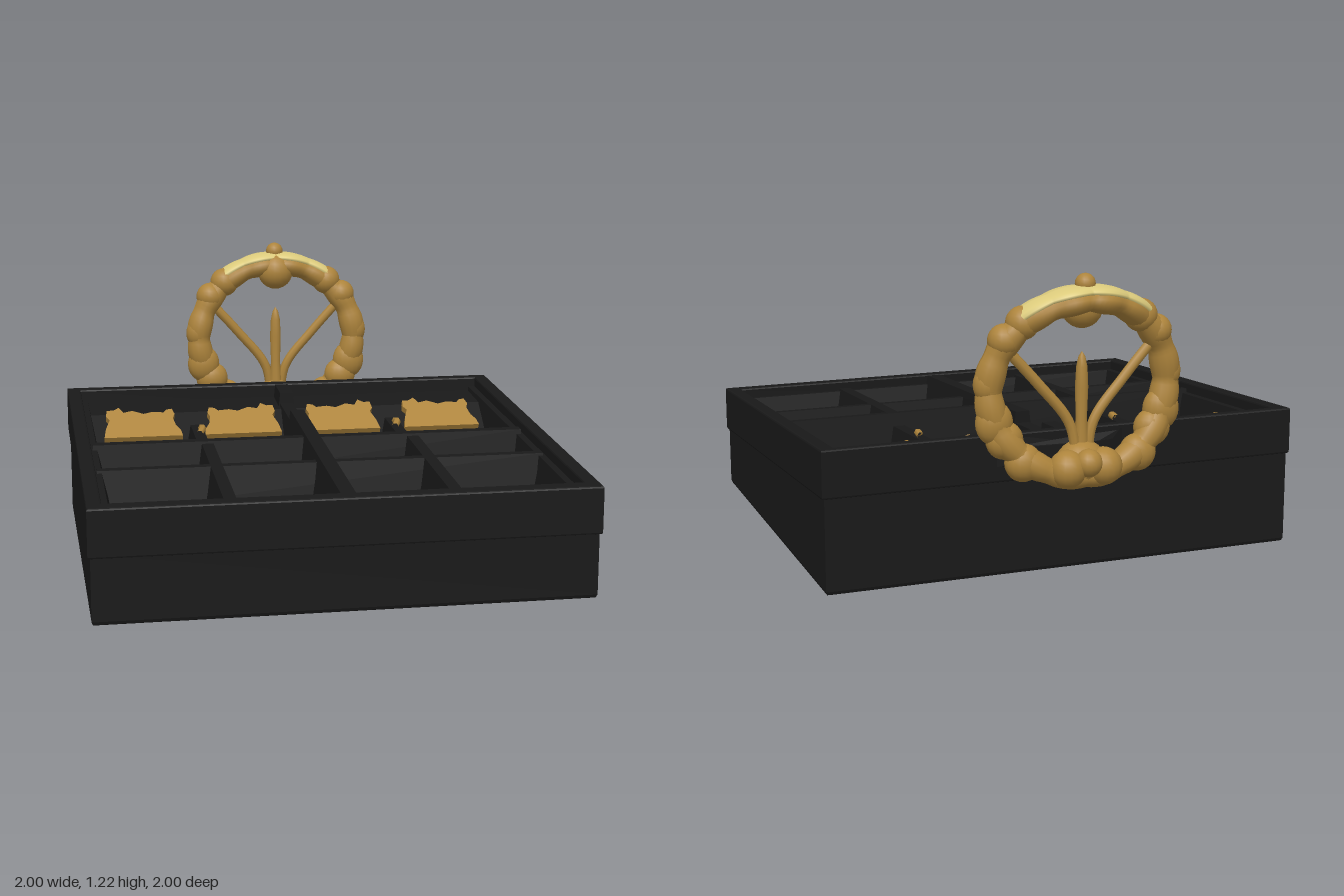
import * as THREE from 'three';

const black = new THREE.MeshStandardMaterial({ color: 0x191919 });
black.name = 'matte black';
const gold = new THREE.MeshStandardMaterial({ color: 0xad843c });
gold.name = 'antique gold';
const pale = new THREE.MeshStandardMaterial({ color: 0xdccb7c });
pale.name = 'pale gold';

const FLOOR = 0.3;
// Height of the sloping case top at depth z
const top = (z) => 0.529 - 0.0694 * z;

// Moves every vertex by a rule and refreshes the normals
function reshape(geo, rule) {
  const p = geo.attributes.position;
  const v = new THREE.Vector3();
  for (let i = 0; i < p.count; i++) {
    v.fromBufferAttribute(p, i);
    rule(v);
    p.setXYZ(i, v.x, v.y, v.z);
  }
  geo.computeVertexNormals();
  return geo;
}

function add(group, name, geo, mat, x = 0, y = 0, z = 0) {
  const mesh = new THREE.Mesh(geo, mat);
  mesh.name = name;
  mesh.position.set(x, y, z);
  group.add(mesh);
  return mesh;
}

function rectangle(Type, hx, z0, z1) {
  return new Type([[-hx, z0], [hx, z0], [hx, z1], [-hx, z1]].map(([x, z]) => new THREE.Vector2(x, z)));
}

// Horizontal bevelled slab hanging down from y = 0, optionally with an opening
function slab(hx, z0, z1, depth, bevel, open) {
  const shape = rectangle(THREE.Shape, hx, z0, z1);
  if (open) shape.holes.push(rectangle(THREE.Path, 0.94, -0.69, 0.935));
  const geo = new THREE.ExtrudeGeometry(shape, {
    depth: depth - 2 * bevel, bevelThickness: bevel, bevelSize: bevel, bevelOffset: -bevel, bevelSegments: 2,
  });
  return geo.rotateX(Math.PI / 2).translate(0, -bevel, 0);
}

// Divider with a narrow crest and flared foot, from the flat floor up to the slope
function divider(group, name, x0, x1, z0, z1, drop) {
  const alongX = x1 - x0 > z1 - z0;
  const geo = new THREE.BoxGeometry(x1 - x0, 1, z1 - z0);
  reshape(geo, (v) => {
    const foot = v.y < 0;
    if (foot && alongX) v.z += Math.sign(v.z) * 0.03;
    if (foot && !alongX) v.x += Math.sign(v.x) * 0.03;
    v.x += (x0 + x1) / 2;
    v.z += (z0 + z1) / 2;
    v.y = foot ? FLOOR - 0.005 : top(v.z) - drop;
  });
  add(group, name, geo, black);
}

function buildCase() {
  const g = new THREE.Group();
  g.name = 'case';
  // Solid base whose upper face is the compartment floor
  add(g, 'base', slab(0.99, -0.728, 0.99, FLOOR, 0.018, false).translate(0, FLOOR, 0), black);
  // Side walls and the slightly wider sloping rim
  const walls = slab(0.99, -0.728, 0.99, 0.2, 0.004, true);
  add(g, 'caseWalls', reshape(walls, (v) => { v.y = v.y > -0.1 ? top(v.z) - 0.1 : FLOOR - 0.03; }), black);
  add(g, 'rim', reshape(slab(1, -0.735, 1, 0.195, 0.008, true), (v) => { v.y += top(v.z); }), black);
  // Inner lining
  for (const s of [-1, 1]) divider(g, 'sideLining', s * 0.93 - 0.02, s * 0.93 + 0.02, -0.69, 0.93, 0.045);
  divider(g, 'frontLining', -0.93, 0.93, 0.91, 0.94, 0.045);
  // Compartment dividers, the centre one dipping between the gold plates
  divider(g, 'centreDivider', -0.03, 0.03, -0.25, 0.93, 0.005);
  divider(g, 'centreDividerDip', -0.03, 0.03, -0.54, -0.25, 0.055);
  divider(g, 'centreDividerRear', -0.03, 0.03, -0.7, -0.54, 0.005);
  divider(g, 'crossDivider', -0.93, 0.93, 0.075, 0.115, 0.025);
  divider(g, 'crossDivider', -0.93, 0.93, 0.4, 0.435, 0.035);
  for (const s of [-1, 1]) {
    divider(g, 'columnDivider', s * 0.445 - 0.025, s * 0.445 + 0.025, 0.09, 0.93, 0.035);
    divider(g, 'rearColumnDivider', s * 0.445 - 0.025, s * 0.445 + 0.025, -0.33, 0.09, 0.08);
  }
  // Stepped panel behind the rear compartments
  const profile = new THREE.Shape(
    [[0.71, 0.29], [0.71, 0.515], [0.5, 0.495], [0.335, 0.393], [0.24, 0.29]].map(([z, y]) => new THREE.Vector2(z, y)));
  const panel = new THREE.ExtrudeGeometry(profile, { depth: 1.88, bevelEnabled: false });
  add(g, 'rearPanel', panel.rotateY(Math.PI / 2), black, -0.94);
  // Shallow swelling on the back that carries the wheel
  const mount = new THREE.Shape();
  mount.moveTo(-0.3, -0.72);
  mount.bezierCurveTo(-0.2, -0.735, -0.2, -0.765, -0.1, -0.765);
  mount.lineTo(0.12, -0.765);
  mount.bezierCurveTo(0.22, -0.765, 0.26, -0.735, 0.38, -0.72);
  const mountGeo = new THREE.ExtrudeGeometry(mount, { depth: 0.11, bevelEnabled: false }).rotateX(Math.PI / 2);
  reshape(mountGeo, (v) => { if (v.z < -0.74) v.y = v.y > -0.05 ? -0.035 : -0.105; });
  add(g, 'wheelMount', mountGeo, black, 0, 0.56, 0);
  return g;
}

// Ragged gold plates resting on the rear panel, and the small hooks
function buildInserts() {
  const g = new THREE.Group();
  g.name = 'goldInserts';
  const outline = [[-0.175, 0], [0.175, 0], [0.17, 0.03], [0.15, 0.06], [0.14, 0.1], [0.15, 0.125], [0.14, 0.155],
    [0.115, 0.15], [0.1, 0.135], [0.05, 0.14], [0.01, 0.13], [-0.04, 0.15], [-0.08, 0.14], [-0.1, 0.17],
    [-0.125, 0.155], [-0.155, 0.155], [-0.16, 0.12], [-0.145, 0.1], [-0.165, 0.05]];
  [[-0.68, 1], [-0.23, -1], [0.225, -1], [0.69, 1]].forEach(([x, s]) => {
    const shape = new THREE.Shape(outline.map(([px, py]) => new THREE.Vector2(px * s, py * 1.14)));
    const geo = new THREE.ExtrudeGeometry(shape, { depth: 0.034, bevelEnabled: false });
    add(g, 'goldPlate', geo, gold, x, 0.397, -0.347).rotation.x = -Math.PI / 2 + 0.55;
  });
  for (const s of [-1, 1]) {
    const path = new THREE.CatmullRomCurve3([
      new THREE.Vector3(s * 0.44 + 0.01, 0.475, -0.25), new THREE.Vector3(s * 0.44 + 0.01, 0.48, -0.21),
      new THREE.Vector3(s * 0.44 - 0.005, 0.465, -0.18)]);
    add(g, 'hook', new THREE.TubeGeometry(path, 8, 0.016, 6), gold);
  }
  return g;
}

// Lumpy oval ring, bowed backward and widened toward the crown
function rimGeometry(radius, tube, start, arc, flatness) {
  const geo = new THREE.TorusGeometry(radius, tube, 14, 120, arc).rotateZ(start);
  return reshape(geo, (v) => {
    const a = Math.atan2(v.y, v.x);
    const s = Math.sin(a);
    const lump = 0.95 + 0.17 * Math.abs(Math.sin(a * 8));
    const r = radius + (Math.hypot(v.x, v.y) - radius) * lump * flatness;
    v.x = r * Math.cos(a) * 1.02;
    v.y = r * s * 0.95;
    v.z = v.z * lump * (1 + 0.75 * Math.max(0, s) ** 6) + 0.03 - 0.06 * s * s;
  });
}

function buildWheel() {
  const g = new THREE.Group();
  g.name = 'wheel';
  g.position.set(0, 0.775, -0.87);
  const ball = (name, x, y, z, r, sx = 1, sy = 1, sz = 1) =>
    add(g, name, new THREE.SphereGeometry(r, 18, 12).scale(sx, sy, sz), gold, x, y, z);
  add(g, 'wheelRim', rimGeometry(0.363, 0.052, 0, Math.PI * 2, 1), gold);
  // Pale skin over the top of the rim
  add(g, 'paleCrown', rimGeometry(0.397, 0.045, 0.87, Math.PI - 1.74, 0.54), pale);
  // Crown knobs
  ball('topKnob', 0, 0.405, -0.025, 0.04);
  ball('crownBoss', 0, 0.312, 0.005, 0.083, 1, 1, 0.95);
  // Beads swelling the rim on both sides
  for (const s of [-1, 1]) {
    ball('shoulderBead', s * 0.245, 0.265, 0, 0.066);
    ball('shoulderBead', s * 0.315, 0.2, 0.012, 0.064);
    ball('rimBead', s * 0.375, 0.03, 0.03, 0.056, 1, 1.3, 0.95);
    ball('rimBead', s * 0.35, -0.12, 0.025, 0.075, 1, 1.15, 0.75);
    ball('rimBead', s * 0.31, -0.19, 0.02, 0.075, 1, 1, 0.8);
    ball('rimBead', s * 0.24, -0.28, 0, 0.075, 1, 1, 0.85);
    // Side spokes
    const path = new THREE.CatmullRomCurve3([
      new THREE.Vector3(s * 0.02, -0.3, -0.01), new THREE.Vector3(s * 0.05, -0.14, 0),
      new THREE.Vector3(s * 0.18, 0.025, 0.005), new THREE.Vector3(s * 0.32, 0.18, 0.01)]);
    add(g, 'spoke', new THREE.TubeGeometry(path, 20, 0.021, 8), gold);
    ball('hubBead', s * 0.075, -0.31, -0.045, 0.075);
  }
  // Hub cluster and central spike
  ball('hub', 0, -0.305, 0, 0.095, 1.1, 1, 0.95);
  ball('hubKnob', 0, -0.285, -0.075, 0.055);
  const spike = [[0.034, -0.3], [0.022, -0.12], [0.026, 0], [0.022, 0.08], [0.013, 0.12], [0, 0.14]];
  add(g, 'centreSpike', new THREE.LatheGeometry(spike.map(([x, y]) => new THREE.Vector2(x, y)), 12), gold);
  return g;
}

export function createModel() {
  const model = new THREE.Group();
  model.name = 'compartmentCaseWithWheel';
  model.add(buildCase(), buildInserts(), buildWheel());
  return model;
}
